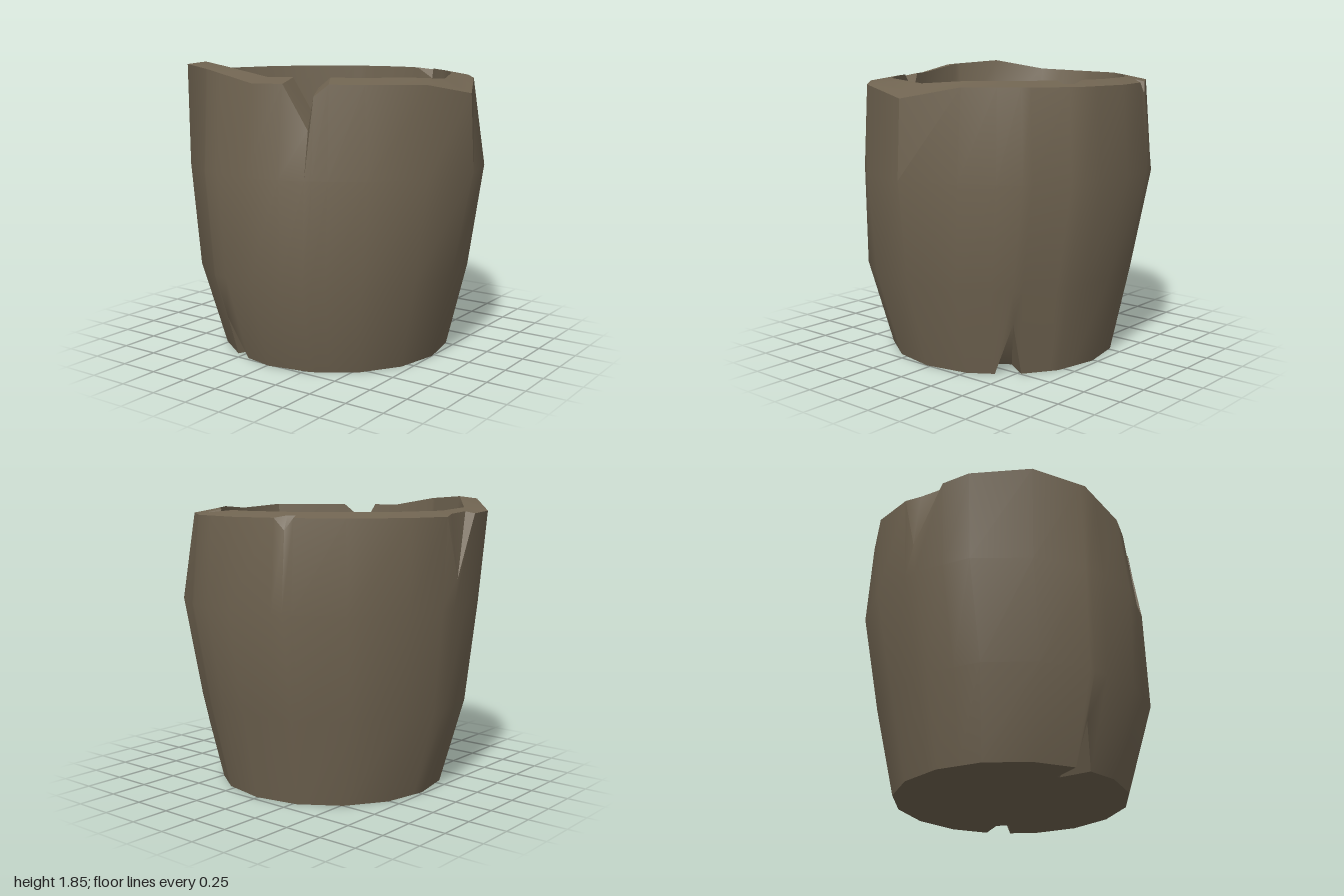
import * as THREE from 'three';
import { toCreasedNormals } from 'three/addons/utils/BufferGeometryUtils.js';

// Radii and heights at 16 stations, going from +x towards +z
const BELLY = [1.0, 0.97, 0.93, 0.91, 0.95, 0.96, 0.96, 0.97, 0.96, 0.96, 0.95, 0.955, 0.945, 0.955, 0.96, 0.96];
const RIM_R = [0.975, 0.96, 0.88, 0.84, 0.88, 0.93, 0.965, 1.02, 0.99, 0.97, 0.92, 0.9, 0.9, 0.91, 0.88, 0.88];
const RIM_Y = [1.68, 1.745, 1.75, 1.75, 1.75, 1.82, 1.835, 1.77, 1.75, 1.75, 1.75, 1.75, 1.75, 1.75, 1.75, 1.75];
const LIP_R = [0.79, 0.8, 0.71, 0.68, 0.73, 0.79, 0.85, 0.87, 0.86, 0.83, 0.78, 0.77, 0.76, 0.76, 0.72, 0.74];
const LIP_Y = [1.76, 1.78, 1.78, 1.78, 1.78, 1.83, 1.85, 1.79, 1.78, 1.78, 1.78, 1.78, 1.78, 1.78, 1.78, 1.78];
const FILL_Y = 1.45;

// Cracks and chips: station -> changed points (an empty entry is a crack's edge)
const CRACKS = {
  2.62: {}, 2.88: { rimY: 1.68, midY: 1.7, lipY: 1.72 },
  3: { rimR: 0.81, rimY: 1.48, midY: 1.53, lipY: 1.57 }, 3.43: {},   // front crack, through the wall
  7.48: {}, 8: { rimR: 0.98, rimY: 1.38, midR: 0.93 }, 8.26: {},     // side crack
  10.85: {}, 11: { rimY: 1.68 }, 11.2: {},                           // chip on the outer edge
  12.6: {}, 13: { lipY: 1.71, lipR: 0.775 }, 13.2: {},               // chip on the inner edge
  4.69: {}, 5: { lift: 0.26 }, 5.09: {},                             // cracks in the foot
  13.83: {}, 14: { lift: 0.34 }, 14.4: {},
};

const polar = (k, r, y) => {
  const a = (k * Math.PI) / 8;
  return new THREE.Vector3(r * Math.cos(a), y, r * Math.sin(a));
};

// Point on the straight edge between two neighbouring stations
function between(k, make) {
  const k0 = Math.floor(k);
  return make(k0).lerp(make(k0 + 1), k - k0);
}

// All points of one upright section, from the middle of the base to inside the pot
function section(k) {
  const c = CRACKS[k] || {};
  const foot = between(k, (i) => polar(i, 0.74, 0).add(new THREE.Vector3(0.01, 0, 0.025)));
  const low = between(k, (i) => polar(i, 0.88, 0.55).add(new THREE.Vector3(0.01, 0, 0.05)));
  const belly = between(k, (i) => polar(i, BELLY[i % 16], 1.2));
  const rim = between(k, (i) => polar(i, RIM_R[i % 16], RIM_Y[i % 16]));
  const lip = between(k, (i) => polar(i, LIP_R[i % 16], LIP_Y[i % 16]));
  const mid = rim.clone().lerp(lip, 0.45);
  const inside = between(k, (i) => polar(i, Math.min(LIP_R[i % 16], 0.78) * 0.99, FILL_Y));
  const inset = foot.clone().multiplyScalar(0.74);

  if (c.lift) foot.lerp(low, c.lift / 0.55);
  if (c.rimR) rim.copy(polar(k, c.rimR, rim.y));
  if (c.midR) mid.copy(polar(k, c.midR, mid.y));
  if (c.lipR) lip.copy(polar(k, c.lipR, lip.y));
  rim.y = c.rimY ?? rim.y;
  mid.y = c.midY ?? mid.y;
  lip.y = c.lipY ?? lip.y;
  return [new THREE.Vector3(), inset, foot, low, belly, rim, mid, lip, inside];
}

// Closed skin through a list of sections
function skin(sections, crease) {
  const pos = [];
  const tri = (a, b, c) => {
    const area = b.clone().sub(a).cross(c.clone().sub(a)).length();
    if (area > 1e-7) pos.push(...a, ...b, ...c);
  };
  sections.forEach((s, i) => {
    const n = sections[(i + 1) % sections.length];
    for (let j = 0; j < s.length - 1; j++) {
      tri(s[j], s[j + 1], n[j]);
      tri(n[j], s[j + 1], n[j + 1]);
    }
  });
  const g = new THREE.BufferGeometry();
  g.setAttribute('position', new THREE.Float32BufferAttribute(pos, 3));
  return toCreasedNormals(g, crease);
}

export function createModel() {
  const clay = new THREE.MeshStandardMaterial({ color: 0x706451 });
  clay.name = 'brown clay';
  const grey = new THREE.MeshStandardMaterial({ color: 0xc0c0c0 });
  grey.name = 'pale grey filling';

  const stations = [...new Set([...Array(16).keys(), ...Object.keys(CRACKS).map(Number)])].sort((a, b) => a - b);
  const sections = stations.map(section);

  const pot = new THREE.Mesh(skin(sections, 0.65), clay);
  pot.name = 'crackedPot';

  // Flat filling that meets the inner wall
  const centre = new THREE.Vector3(0, FILL_Y, 0);
  const filling = new THREE.Mesh(skin(sections.map((s) => [s[s.length - 1], centre]), 0.6), grey);
  filling.name = 'filling';

  const model = new THREE.Group();
  model.name = 'pot';
  model.add(pot, filling);
  return model;
}
